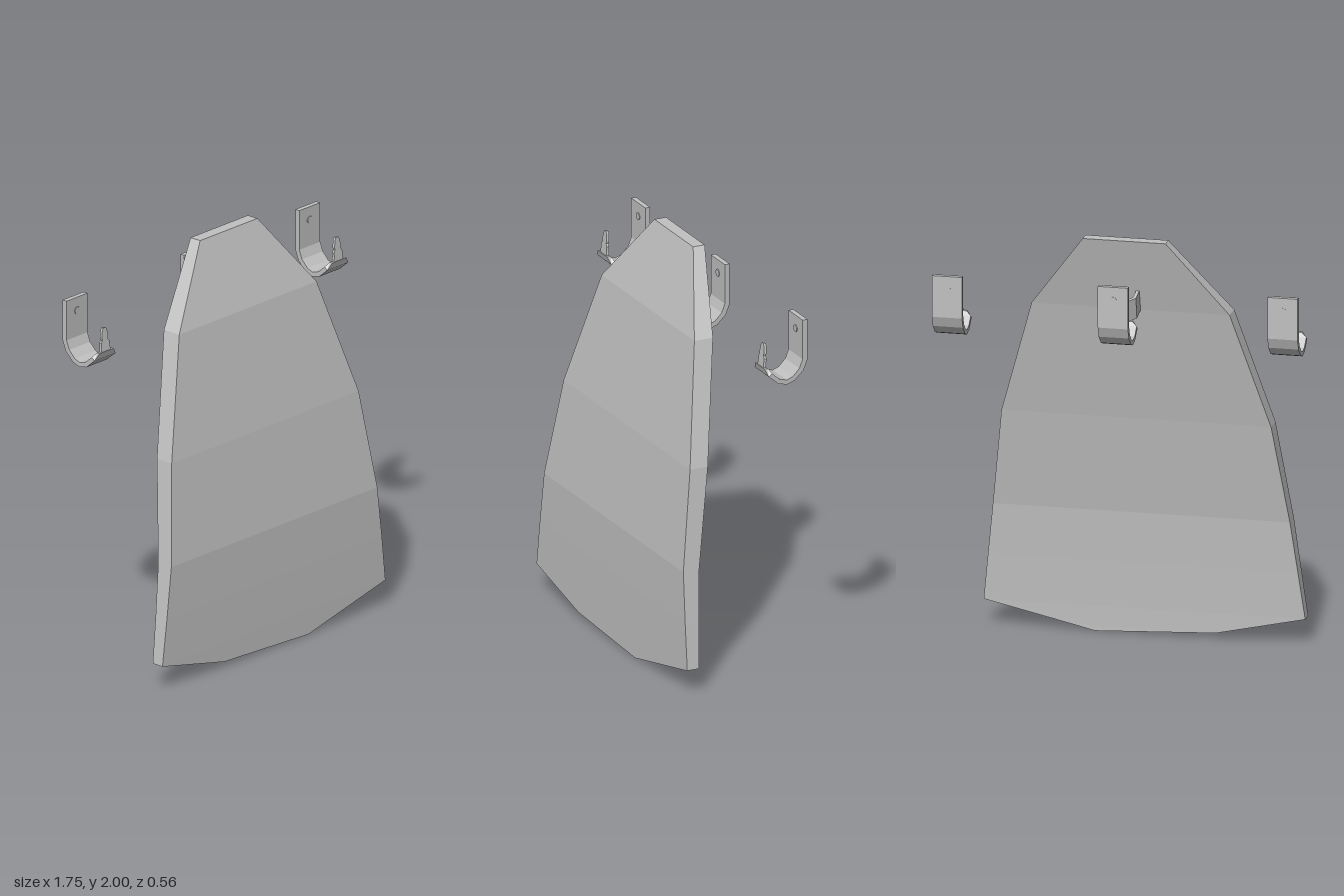
import * as THREE from 'three';

const grey = new THREE.MeshStandardMaterial({ color: 0xc0c0c0, flatShading: true });
grey.name = 'light grey';

function part(name, geometry) {
  const mesh = new THREE.Mesh(geometry, grey);
  mesh.name = name;
  return mesh;
}

const outline = (points) => new THREE.Shape(points.map(([x, y]) => new THREE.Vector2(x, y)));

function extrude(points, depth) {
  return new THREE.ExtrudeGeometry(outline(points), { depth, bevelEnabled: false });
}

// Curved slab lofted through rows of: y, right edge x, left edge x, front z, back z
function panelGeometry() {
  const rows = [
    [2.0, -0.2, 0.195, -0.03, -0.09],
    [1.645, -0.485, 0.46, 0.1, 0.003],
    [1.08, -0.657, 0.63, 0.21, 0.117],
    [0.6, -0.73, 0.688, 0.275, 0.192],
    [0.35, -0.765, 0.715, 0.279, 0.208],
    [0.125, -0.797, 0.738, 0.28, 0.219],
    [0.03, -0.37, 0.32, 0.28, 0.221],
    [0.004, 0.2, 0.21, 0.28, 0.221],
  ];
  const positions = [], index = [];
  for (const [y, xr, xl, zf, zb] of rows) {
    positions.push(xr, y, zf, xl, y, zf, xl, y, zb, xr, y, zb);
  }
  const quad = (a, b, c, d) => index.push(a, b, c, a, c, d);
  for (let r = 0; r < rows.length - 1; r++) {
    for (let i = 0; i < 4; i++) {
      const j = (i + 1) % 4, top = r * 4, low = top + 4;
      quad(low + i, low + j, top + j, top + i);
    }
  }
  const end = (rows.length - 1) * 4;
  quad(0, 1, 2, 3);
  quad(end + 3, end + 2, end + 1, end);
  const indexed = new THREE.BufferGeometry();
  indexed.setAttribute('position', new THREE.Float32BufferAttribute(positions, 3));
  indexed.setIndex(index);
  const geometry = indexed.toNonIndexed();
  geometry.computeVertexNormals();
  return geometry;
}

// J-shaped strip with a narrowing front lip; profile is z, y
function hookGeometry() {
  const profile = [
    [-0.28, 1.83], [-0.28, 1.63], [-0.26, 1.58], [-0.215, 1.537], [-0.175, 1.523],
    [-0.13, 1.533], [-0.078, 1.578], [-0.068, 1.61], [-0.085, 1.61], [-0.095, 1.592],
    [-0.137, 1.555], [-0.172, 1.546], [-0.203, 1.557], [-0.238, 1.592],
    [-0.255, 1.635], [-0.255, 1.83],
  ];
  const g = extrude(profile, 0.144);
  g.translate(0, 0, -0.072);
  g.rotateY(-Math.PI / 2);
  // after the turn the profile's first axis lies along +z
  const p = g.attributes.position;
  for (let i = 0; i < p.count; i++) {
    if (p.getZ(i) > -0.09 && p.getY(i) > 1.6) p.setX(i, p.getX(i) * 0.68);
  }
  g.computeVertexNormals();
  return g;
}

// Notched tongue standing on the lip
function tongueGeometry() {
  const half = [[0.033, 0], [0.028, 0.03], [0.028, 0.05], [0.019, 0.062],
    [0.022, 0.075], [0.015, 0.11], [0.008, 0.12]];
  const mirrored = half.map(([x, y]) => [-x, y]).reverse();
  const g = extrude([...half, ...mirrored], 0.013);
  g.rotateX(-0.09);
  g.translate(0, 1.602, -0.084);
  return g;
}

function createHook(x) {
  const hook = new THREE.Group();
  hook.name = 'hook';
  hook.position.x = x;
  hook.add(part('hookStrip', hookGeometry()), part('hookTongue', tongueGeometry()));
  // small fixing stud through the back plate
  const stud = part('fixingStud', new THREE.CylinderGeometry(0.018, 0.018, 0.03, 10));
  stud.rotation.x = Math.PI / 2;
  stud.position.set(0, 1.765, -0.2665);
  hook.add(stud);
  return hook;
}

export function createModel() {
  const model = new THREE.Group();
  model.name = 'hangingPanelWithHooks';
  model.add(part('panel', panelGeometry()));

  for (const x of [-0.802, 0.008, 0.8]) model.add(createHook(x));

  // open strap on the back of the panel, square to its slope
  const strap = part('hangingStrap', extrude([
    [-0.072, -0.02], [-0.056, -0.02], [-0.056, 0.08], [-0.034, 0.107], [0.034, 0.107],
    [0.056, 0.08], [0.056, -0.02], [0.072, -0.02], [0.072, 0.086], [0.042, 0.122],
    [-0.042, 0.122], [-0.072, 0.086],
  ], 0.105));
  strap.rotation.x = -(Math.PI / 2 + 0.2);
  strap.position.set(0.012, 1.642, 0.01);
  model.add(strap);
  return model;
}
